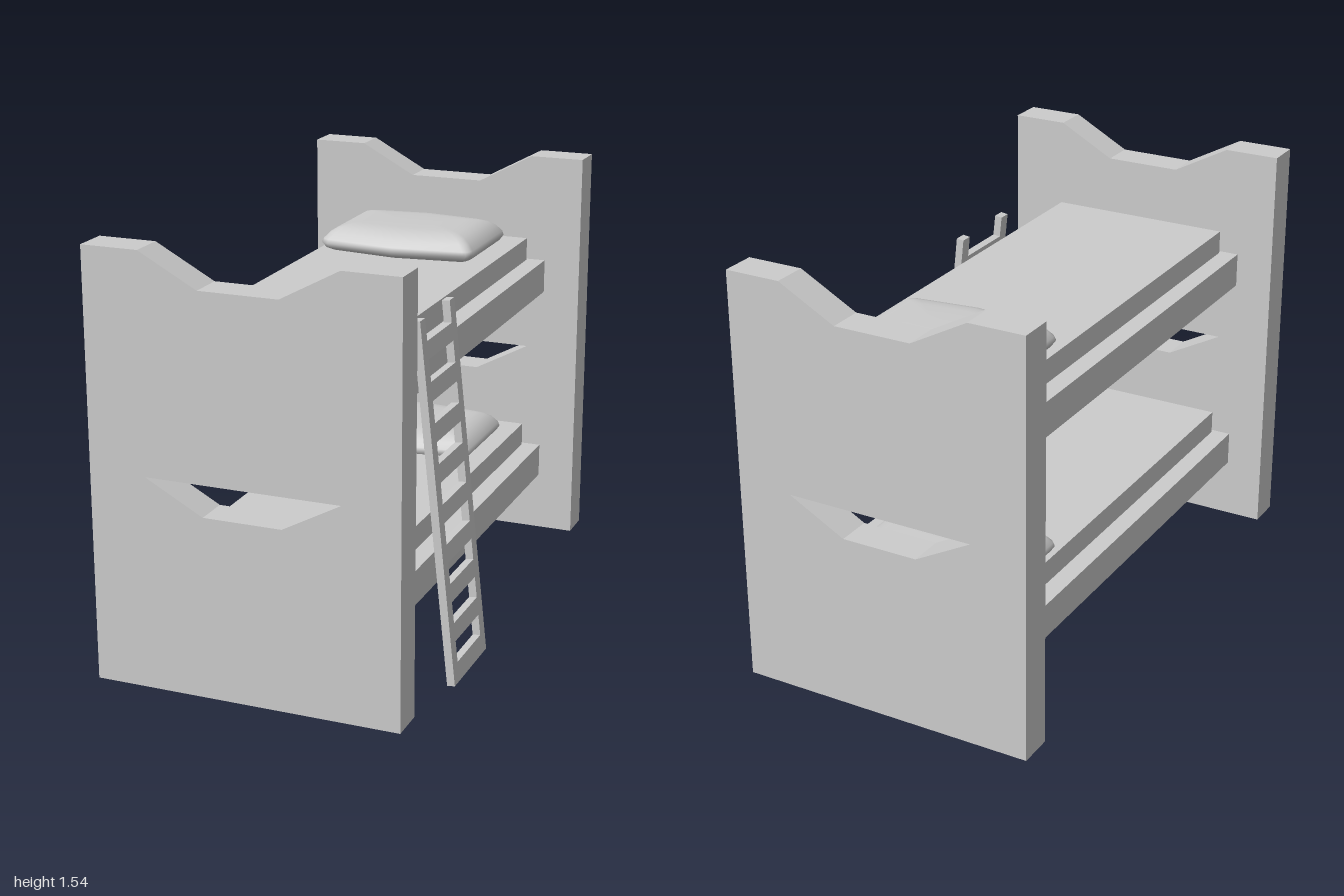
import * as THREE from 'three';

const grey = new THREE.MeshStandardMaterial({ color: 0xcccccc, side: THREE.DoubleSide });
const MID = -0.0125; // centre line of the bed in x

function add(group, name, geometry, x = 0, y = 0, z = 0) {
  const mesh = new THREE.Mesh(geometry, grey);
  mesh.name = name;
  mesh.position.set(x, y, z);
  group.add(mesh);
  return mesh;
}

const toPoints = (list) => list.map(([x, y]) => new THREE.Vector2(x, y));

// End board: dipped top edge, trapezoid hand hole, hollow underneath
function endBoardGeometry() {
  const w = 0.5425, low = 0.045, top = 1.54;
  const shape = new THREE.Shape(toPoints([
    [-w, low], [w, low], [w, top], [0.342, top], [0.138, 1.43], [-0.138, 1.43], [-0.342, top], [-w, top],
  ]));
  shape.holes.push(new THREE.Path(toPoints([[-0.342, 0.79], [0.342, 0.79], [0.138, 0.68], [-0.138, 0.68]])));
  const solid = new THREE.ExtrudeGeometry(shape, { depth: 0.125, bevelEnabled: false });
  // drop the triangles of the bottom face
  const p = solid.attributes.position, n = solid.attributes.normal;
  const pos = [], nor = [];
  for (let i = 0; i < p.count; i += 3) {
    const isBottom = [0, 1, 2].every((k) => Math.abs(p.getY(i + k) - low) < 1e-4);
    if (isBottom) continue;
    for (let k = i; k < i + 3; k++) {
      pos.push(p.getX(k), p.getY(k), p.getZ(k));
      nor.push(n.getX(k), n.getY(k), n.getZ(k));
    }
  }
  const g = new THREE.BufferGeometry();
  g.setAttribute('position', new THREE.Float32BufferAttribute(pos, 3));
  g.setAttribute('normal', new THREE.Float32BufferAttribute(nor, 3));
  return g;
}

// Ladder: one flat board with rung openings and an open top
function ladderGeometry() {
  const w = 0.163, inner = 0.117, length = 1.272, thick = 0.028, pitch = 0.141;
  const topRung = 1.195;
  const shape = new THREE.Shape(toPoints([
    [-w, 0], [w, 0], [w, length], [inner, length], [inner, topRung], [-inner, topRung], [-inner, length], [-w, length],
  ]));
  for (let i = 0; i < 8; i++) {
    const y0 = 0.07 + i * pitch, y1 = y0 + 0.076;
    shape.holes.push(new THREE.Path(toPoints([[-inner, y0], [-inner, y1], [inner, y1], [inner, y0]])));
  }
  const g = new THREE.ExtrudeGeometry(shape, { depth: thick, bevelEnabled: false });
  g.rotateY(Math.PI / 2);
  return g;
}

// Pillow: stacked copies of a rounded six-sided outline
function pillowGeometry() {
  const a = 0.298, b = 0.2, peak = 0.24, r = 0.03;
  const s = new THREE.Shape();
  s.moveTo(0, -peak);
  s.lineTo(a - r, -b - 0.005);
  s.quadraticCurveTo(a, -b, a, -b + r);
  s.lineTo(a, b - r);
  s.quadraticCurveTo(a, b, a - r, b + 0.005);
  s.lineTo(0, peak);
  s.lineTo(-a + r, b + 0.005);
  s.quadraticCurveTo(-a, b, -a, b - r);
  s.lineTo(-a, -b + r);
  s.quadraticCurveTo(-a, -b, -a + r, -b - 0.005);
  const ring = s.getPoints(5);
  // [height, inset]
  const layers = [[0, 0.2], [0, 0.035], [0.012, 0.012], [0.03, 0], [0.045, 0.005], [0.068, 0.025],
    [0.084, 0.05], [0.093, 0.08], [0.097, 0.12], [0.098, 0.2]];
  const pos = [], index = [], n = ring.length;
  for (const [y, inset] of layers) {
    for (const q of ring) pos.push(q.x * (1 - inset / a), y, q.y * (1 - inset / peak));
  }
  for (let j = 0; j < layers.length - 1; j++) {
    for (let i = 0; i < n; i++) {
      const k = (i + 1) % n;
      const p0 = j * n + i, p1 = j * n + k, p2 = p0 + n, p3 = p1 + n;
      index.push(p0, p2, p1, p1, p2, p3);
    }
  }
  // close bottom and top with a fan
  const base = pos.length / 3, last = (layers.length - 1) * n;
  pos.push(0, 0, 0, 0, 0.098, 0);
  for (let i = 0; i < n; i++) {
    const k = (i + 1) % n;
    index.push(base, i, k, base + 1, last + k, last + i);
  }
  const g = new THREE.BufferGeometry();
  g.setAttribute('position', new THREE.Float32BufferAttribute(pos, 3));
  g.setIndex(index);
  g.computeVertexNormals();
  return g;
}

export function createModel() {
  const model = new THREE.Group();
  model.name = 'bunkBed';

  // end boards
  const board = endBoardGeometry();
  add(model, 'frontEndBoard', board, MID, 0, 0.875);
  add(model, 'backEndBoard', board, MID, 0, -1);

  // two bunks: frame, mattress and pillow
  const pillow = pillowGeometry();
  for (const [name, y, pillowY] of [['lowerBunk', 0.265, 0.457], ['upperBunk', 1.015, 1.223]]) {
    const bunk = new THREE.Group();
    bunk.name = name;
    add(bunk, 'frame', new THREE.BoxGeometry(0.81, 0.125, 1.75), MID, y + 0.0625, 0);
    add(bunk, 'mattress', new THREE.BoxGeometry(0.675, 0.085, 1.715), MID, y + 0.1675, 0);
    add(bunk, 'pillow', pillow, -0.037, pillowY, -0.588);
    model.add(bunk);
  }

  // leaning ladder on the left side
  const ladder = add(model, 'ladder', ladderGeometry(), 0.521, 0.002, 0.374);
  ladder.rotation.z = 0.108;

  return model;
}
